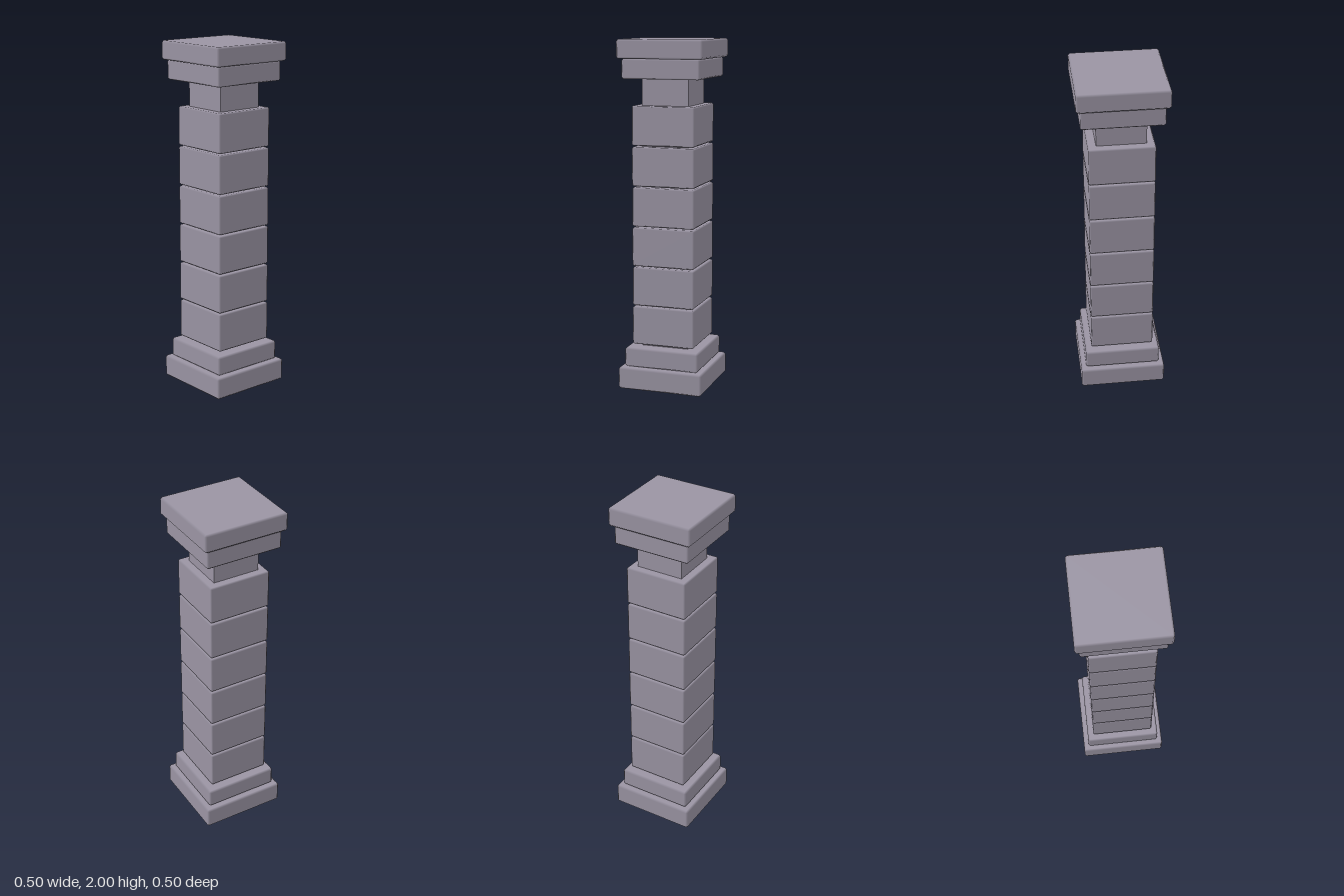
import * as THREE from 'three';
import { ConvexGeometry } from 'three/addons/geometries/ConvexGeometry.js';

// Box with chamfered edges; flat faces, normals blended across each chamfer
function chamferBox(half, height, bevel) {
  const size = [half, height / 2, half];
  const points = [];
  for (const sx of [-1, 1]) for (const sy of [-1, 1]) for (const sz of [-1, 1]) {
    for (let axis = 0; axis < 3; axis++) {
      const p = size.map((s, i) => (i === axis ? s : s - bevel));
      points.push(new THREE.Vector3(p[0] * sx, p[1] * sy, p[2] * sz));
    }
  }
  const geometry = new ConvexGeometry(points);
  const pos = geometry.attributes.position;
  const normal = geometry.attributes.normal;
  for (let i = 0; i < pos.count; i++) {
    const p = [pos.getX(i), pos.getY(i), pos.getZ(i)];
    const n = p.map((v, k) => (Math.abs(Math.abs(v) - size[k]) < 1e-4 ? Math.sign(v) : 0));
    normal.setXYZ(i, n[0], n[1], n[2]);
  }
  return geometry;
}

export function createModel() {
  const group = new THREE.Group();
  group.name = 'stonePillar';
  const stone = new THREE.MeshStandardMaterial({ color: 0x9a94a3 });
  stone.name = 'greyStone';

  const add = (name, geometry, y0, y1) => {
    const mesh = new THREE.Mesh(geometry, stone);
    mesh.name = name;
    mesh.position.y = (y0 + y1) / 2;
    group.add(mesh);
  };
  const slab = (name, half, y0, y1, bevel) =>
    add(name, chamferBox(half, y1 - y0, bevel), y0, y1);

  // Stepped base
  slab('baseSlab', 0.25, 0, 0.127, 0.011);
  slab('basePlinth', 0.22, 0.127, 0.24, 0.011);

  // Inner core, seen in the joints and at the neck
  add('core', new THREE.BoxGeometry(0.276, 1.57, 0.276), 0.23, 1.8);

  // Stacked shaft blocks
  for (let i = 0; i < 6; i++) {
    const y = 0.255 + i * 0.2305;
    slab('shaftBlock' + (i + 1), 0.184, y, y + 0.223, 0.008);
  }

  // Stepped capital
  slab('capitalLower', 0.227, 1.782, 1.893, 0.009);
  slab('capitalTop', 0.25, 1.893, 2, 0.011);

  return group;
}
